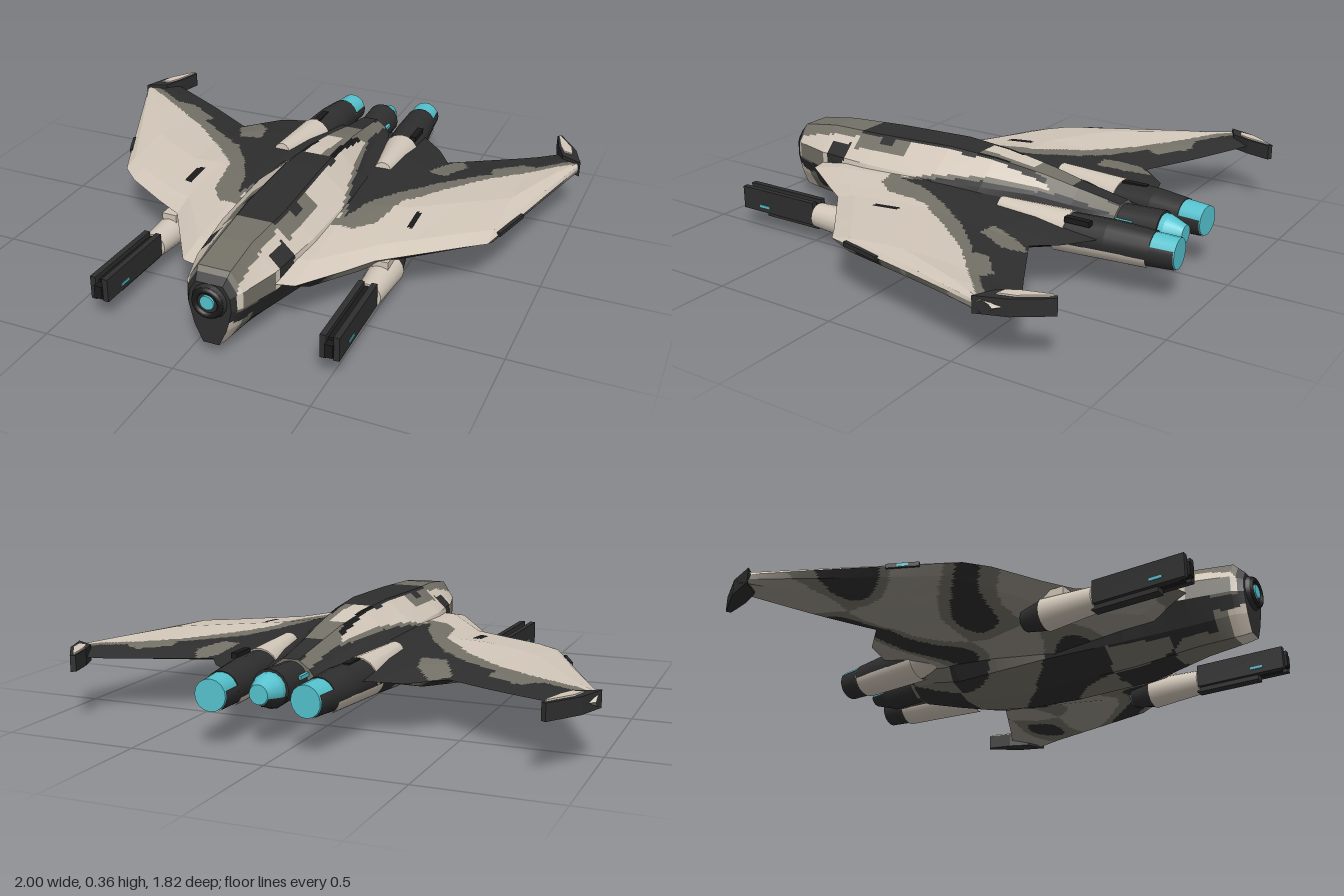
import * as THREE from 'three';

const CX = 0.085; // fuselage axis
const mat = (name, color) => {
  const m = new THREE.MeshStandardMaterial({ color });
  m.name = name;
  return m;
};

// Point-in-polygon test for the paint regions
function inside(poly, x, y) {
  let hit = false;
  for (let i = 0, j = poly.length - 1; i < poly.length; j = i++) {
    const [xi, yi] = poly[i], [xj, yj] = poly[j];
    if ((yi > y) !== (yj > y) && x < ((xj - xi) * (y - yi)) / (yj - yi) + xi) hit = !hit;
  }
  return hit;
}

export function createModel() {
  const cream = mat('cream', 0xd2c7b9), taupe = mat('taupe', 0x747167), dark = mat('charcoal', 0x2e2e2f);
  const black = mat('black', 0x1a1a1a), teal = mat('teal glow', 0x55c2ce), stone = mat('stone', 0x99948a);
  const palette = [cream, taupe, dark, black, stone];
  const CREAM = 0, TAUPE = 1, DARK = 2, BLACK = 3, STONE = 4;
  const model = new THREE.Group();
  const add = (name, geo, material) => {
    const m = new THREE.Mesh(geo, material);
    m.name = name;
    model.add(m);
    return m;
  };

  // Skin between closed rings; each small cell takes a colour from paint(point, facesUp)
  function loft(rings, paint, flip = false, cell = 0.013) {
    const bins = palette.map(() => []);
    const v = (p) => new THREE.Vector3(...p);
    for (let s = 0; s < rings.length - 1; s++) {
      const n = rings[s].length;
      for (let i = 0; i < n; i++) {
        const a = v(rings[s][i]), b = v(rings[s][(i + 1) % n]);
        const d = v(rings[s + 1][i]), c = v(rings[s + 1][(i + 1) % n]);
        const nu = Math.max(1, Math.ceil(Math.max(a.distanceTo(b), d.distanceTo(c)) / cell));
        const nv = Math.max(1, Math.ceil(Math.max(a.distanceTo(d), b.distanceTo(c)) / cell));
        const at = (u, w) => a.clone().lerp(b, u / nu).lerp(d.clone().lerp(c, u / nu), w / nv);
        for (let u = 0; u < nu; u++) for (let w = 0; w < nv; w++) {
          const p = at(u, w), q = at(u + 1, w), r = at(u + 1, w + 1), t = at(u, w + 1);
          const mid = p.clone().add(r).multiplyScalar(0.5);
          const normal = r.clone().sub(p).cross(q.clone().sub(t)).multiplyScalar(flip ? -1 : 1);
          const tris = flip ? [p, q, r, p, r, t] : [p, r, q, p, t, r];
          bins[paint(mid, normal.y > 0)].push(...tris);
        }
      }
    }
    const geo = new THREE.BufferGeometry().setFromPoints(bins.flat());
    let start = 0;
    bins.forEach((bin, k) => {
      if (bin.length) geo.addGroup(start, bin.length, k);
      start += bin.length;
    });
    geo.computeVertexNormals();
    return geo;
  }

  // Blotchy camouflage for the underside
  const belly = (x, z) => {
    const n = Math.sin(x * 11 + 2 * Math.sin(z * 7)) + Math.sin(z * 13 + 1.7 * Math.sin(x * 9));
    return n > 1 ? DARK : n < 0 ? STONE : TAUPE;
  };

  // Camouflage bands in (distance from axis, z)
  const darkBand = [[1.06, -0.62], [0.95, -0.85], [0, -0.85], [0.05, -0.5], [0.1, -0.3], [0.16, 0], [0.22, 0.22],
    [0.26, 0.08], [0.33, -0.06], [0.42, -0.19], [0.62, -0.34]];
  const taupeBand = [[1.08, -0.6], [0.9, -0.9], [0, -0.9], [0.04, -0.5], [0.088, -0.3], [0.148, 0], [0.2, 0.22],
    [0.19, 0.29], [0.27, 0.28], [0.33, 0.2], [0.37, -0.01], [0.5, -0.16], [0.68, -0.33]];
  const tipPatch = [[0.88, -0.5], [0.8, -0.52], [0.66, -0.43], [0.68, -0.36]];
  const kinkPatch = [[0.37, -0.3], [0.46, -0.29], [0.53, -0.42], [0.47, -0.5], [0.4, -0.42]];
  const topCamo = (d, z) => {
    if (Math.abs(d - 0.465) < 0.014 && z > 0.06 && z < 0.17) return BLACK;
    if (inside(tipPatch, d, z) || inside(kinkPatch, d, z)) return TAUPE;
    return inside(darkBand, d, z) ? DARK : inside(taupeBand, d, z) ? TAUPE : CREAM;
  };

  // Fuselage: z, then (half width, y) at the top, shoulder, side, lower side and keel
  const sections = [
    [0.88, 0.05, 0.29, 0.075, 0.25, 0.08, 0.2, 0.06, 0.12, 0.03, 0.055],
    [0.84, 0.06, 0.33, 0.105, 0.26, 0.105, 0.2, 0.075, 0.12, 0.035, 0.05],
    [0.68, 0.06, 0.352, 0.15, 0.26, 0.15, 0.19, 0.11, 0.1, 0.05, 0.042],
    [0.43, 0.075, 0.36, 0.18, 0.265, 0.2, 0.19, 0.16, 0.08, 0.08, 0.008],
    [0.1, 0.07, 0.37, 0.19, 0.27, 0.24, 0.2, 0.2, 0.07, 0.08, 0.006],
    [-0.1, 0.06, 0.358, 0.16, 0.27, 0.26, 0.2, 0.2, 0.07, 0.07, 0.012],
    [-0.3, 0.045, 0.33, 0.11, 0.265, 0.24, 0.2, 0.18, 0.08, 0.06, 0.04],
    [-0.45, 0.035, 0.3, 0.09, 0.25, 0.2, 0.2, 0.15, 0.12, 0.05, 0.08],
    [-0.62, 0.03, 0.27, 0.07, 0.24, 0.1, 0.2, 0.08, 0.16, 0.04, 0.13],
  ];
  const hull = sections.map(([z, ...f]) => {
    const half = [0, 2, 4, 6, 8].map((k) => [f[k], f[k + 1]]);
    return [...half.map(([w, y]) => [CX - w, y, z]), ...half.reverse().map(([w, y]) => [CX + w, y, z])];
  });
  hull.unshift(hull[0].map(() => [CX, 0.19, 0.88])); // nose cap
  hull.push(hull[hull.length - 1].map(() => [CX, 0.2, -0.62])); // tail cap
  add('fuselage', loft(hull, (p, up) => {
    const d = Math.abs(p.x - CX), z = p.z;
    if (z > 0.875) return DARK;
    if (z > 0.855) return p.y > 0.15 ? DARK : CREAM;
    if (p.y < 0.19) {
      if (z > 0.76) return p.y > 0.14 ? DARK : z > 0.82 ? CREAM : TAUPE;
      return p.y > 0.075 && z > 0.35 ? DARK : belly(p.x, z) === STONE ? TAUPE : DARK;
    }
    if (!up) return TAUPE;
    if (z > 0.53) {
      if (Math.abs(d - 0.14) < 0.025 && Math.abs(z - 0.6) < 0.05) return DARK;
      return d < 0.09 ? TAUPE : CREAM;
    }
    if (z > -0.02 && d < 0.08) return DARK;
    if (z > 0.28 && d < 0.13) return z > 0.36 && z < 0.42 && d < 0.11 ? DARK : TAUPE;
    if (z < -0.02 && z > -0.33) {
      if (d > 0.05 && d < 0.068) return BLACK;
      if (d <= 0.05) return z < -0.25 || p.x > CX + 0.02 ? TAUPE : CREAM;
    }
    if (z <= -0.33 && d < 0.07) return z < -0.42 && d < 0.035 ? DARK : TAUPE;
    return topCamo(d, z);
  }), palette);

  // Wings: x, leading z, trailing z per station, sharing ridge, edge and keel heights
  const heights = [[0.265, 0.215, 0.07], [0.265, 0.215, 0.085], [0.255, 0.207, 0.1], [0.25, 0.205, 0.12],
    [0.25, 0.212, 0.145], [0.25, 0.215, 0.16], [0.25, 0.225, 0.185], [0.245, 0.227, 0.2]];
  const profile = [[0, 0], [0.1, 0.55], [0.4, 1], [0.8, 0.6], [1, 0], [0.8, -0.5], [0.4, -1], [0.1, -0.6]];
  const wing = (name, stations, side) => {
    const rings = stations.map(([x, lead, trail], i) => {
      const [top, mid, bot] = heights[i];
      return profile.map(([u, h]) => [x, mid + (h > 0 ? h * (top - mid) : h * (mid - bot)), lead + (trail - lead) * u]);
    });
    add(name, loft(rings, (p, up) => {
      let d = Math.abs(p.x - CX);
      if (side > 0 && d > 0.4) d = 0.4 + (d - 0.4) * 1.33; // the left wing is shorter
      return up ? topCamo(d, p.z) : belly(p.x, p.z);
    }, side < 0), palette);
  };
  wing('rightWing', [[CX, 0.72, -0.6], [-0.13, 0.67, -0.63], [-0.32, 0.37, -0.57], [-0.44, 0.3, -0.45],
    [-0.61, 0.2, -0.55], [-0.685, 0.13, -0.59], [-0.9, -0.355, -0.7], [-0.995, -0.57, -0.64]], -1);
  wing('leftWing', [[CX, 0.72, -0.6], [0.3, 0.67, -0.67], [0.42, 0.49, -0.56], [0.485, 0.39, -0.465],
    [0.75, 0.18, -0.61], [0.82, 0.13, -0.65], [0.92, -0.275, -0.71], [0.995, -0.59, -0.65]], 1);

  // Dark leading-edge strips, with a running light on the right
  const edgeBox = (name, size, x, z, yaw, material) => {
    const strip = add(name, new THREE.BoxGeometry(...size), material);
    strip.position.set(x, 0.219, z);
    strip.rotation.y = yaw;
  };
  edgeBox('rightEdgeStrip', [0.01, 0.016, 0.12], -0.771, -0.064, 0.417, dark);
  edgeBox('rightEdgeLight', [0.014, 0.012, 0.04], -0.771, -0.064, 0.417, teal);
  edgeBox('leftEdgeStrip', [0.014, 0.016, 0.18], 0.86, -0.032, -0.242, dark);

  // Swept-back wing tips with a pale inlay
  const plate = (name, pts, y, depth, material) => {
    const shape = new THREE.Shape(pts.map(([x, z]) => new THREE.Vector2(x, -z)));
    const geo = new THREE.ExtrudeGeometry(shape, { depth, bevelEnabled: false });
    add(name, geo.rotateX(-Math.PI / 2).translate(0, y, 0), material);
  };
  for (const [s, label] of [[-1, 'right'], [1, 'left']]) {
    const m = (pts) => pts.map(([x, z]) => [s * x, z]);
    plate(label + 'WingTip', m([[1, -0.58], [0.96, -0.69], [0.875, -0.81], [0.858, -0.8], [0.885, -0.7], [0.92, -0.62]]), 0.195, 0.06, dark);
    plate(label + 'TipInlay', m([[0.955, -0.64], [0.938, -0.7], [0.872, -0.795], [0.866, -0.79], [0.895, -0.695], [0.918, -0.65]]), 0.256, 0.006, cream);
  }

  // Round part running between two points; from and arc leave part of the circumference open
  const rod = (name, a, b, ra, rb, material, open = false, from = 0, arc = Math.PI * 2) => {
    const va = new THREE.Vector3(...a), dir = new THREE.Vector3(...b).sub(va);
    const geo = new THREE.CylinderGeometry(rb, ra, dir.length(), 16, 1, open, from, arc);
    const mesh = add(name, geo, material);
    mesh.position.copy(va).addScaledVector(dir, 0.5);
    mesh.quaternion.setFromUnitVectors(new THREE.Vector3(0, 1, 0), dir.normalize());
  };
  const lower = (share) => [true, Math.PI * (1 - share), Math.PI * 2 * share]; // lower share of a tube

  // Engines: pale fairing and belly, dark barrel, glowing nozzle with a dark lower shell
  for (const [label, x0, x1, end] of [['right', -0.15, -0.09, -0.87], ['left', 0.285, 0.24, -0.915]]) {
    const at = (z, y = 0.195) => [x0 + ((x1 - x0) * (z + 0.25)) / (end + 0.25), y, z];
    rod(label + 'EngineFairing', at(-0.22, 0.24), at(-0.5, 0.2), 0.035, 0.072, cream);
    rod(label + 'EngineBarrel', at(-0.49), at(-0.66), 0.07, 0.073, dark);
    rod(label + 'EngineSleeve', at(-0.66), at(end + 0.09), 0.073, 0.064, dark);
    rod(label + 'EngineBelly', at(-0.46), at(end + 0.1), 0.078, 0.071, cream, ...lower(0.4));
    rod(label + 'Nozzle', at(end + 0.1), at(end), 0.061, 0.057, teal);
    rod(label + 'NozzleShell', at(end + 0.09), at(end + 0.003), 0.064, 0.06, dark, ...lower(0.62));
    add(label + 'EngineVent', new THREE.BoxGeometry(0.025, 0.02, 0.1), black).position.set(x0 + 0.03, 0.26, -0.56);
  }
  rod('centreEngineBarrel', [CX, 0.2, -0.5], [CX, 0.2, -0.78], 0.06, 0.07, dark);
  rod('centreNozzle', [CX, 0.2, -0.76], [CX, 0.2, -0.8], 0.062, 0.06, teal);
  rod('centreNozzleTip', [CX, 0.2, -0.8], [CX, 0.2, -0.865], 0.06, 0.035, teal);
  rod('centreNozzleShell', [CX, 0.2, -0.78], [CX, 0.2, -0.866], 0.067, 0.039, dark, ...lower(0.4));
  for (const s of [-1, 1]) {
    add('engineLight', new THREE.BoxGeometry(0.012, 0.014, 0.07), teal).position.set(CX + s * 0.064, 0.222, -0.65);
  }

  // Nose sensor
  rod('noseCollar', [CX, 0.225, 0.84], [CX, 0.225, 0.895], 0.08, 0.06, dark);
  add('noseRing', new THREE.TorusGeometry(0.048, 0.012, 8, 20), black).position.set(CX, 0.225, 0.893);
  rod('noseLens', [CX, 0.228, 0.88], [CX, 0.228, 0.902], 0.03, 0.026, teal);

  // Underwing guns: pod, twin rails and muzzle
  for (const [label, x, tilt] of [['right', -0.35, -0.03], ['left', 0.49, 0.01]]) {
    const gun = new THREE.Group();
    gun.name = label + 'Gun';
    const first = model.children.length;
    rod('gunPod', [0, 0.112, 0.27], [0, 0.115, 0.48], 0.062, 0.048, cream);
    rod('gunPodTail', [0, 0.11, 0.18], [0, 0.112, 0.27], 0.04, 0.058, dark);
    rod('gunPodGlow', [0, 0.11, 0.174], [0, 0.11, 0.18], 0.034, 0.036, teal);
    const box = (name, w, h, l, px, y, z, m) => add(name, new THREE.BoxGeometry(w, h, l), m).position.set(px, y, z);
    box('pylon', 0.06, 0.05, 0.22, 0, 0.165, 0.25, cream);
    box('gunCore', 0.036, 0.07, 0.34, 0, 0.12, 0.65, black);
    for (const s of [-1, 1]) {
      box('gunRail', 0.022, 0.09, 0.36, s * 0.024, 0.128, 0.66, dark);
      box('gunLight', 0.004, 0.01, 0.05, s * 0.036, 0.107, 0.73, teal);
    }
    box('gunKeel', 0.04, 0.03, 0.26, 0, 0.08, 0.6, dark);
    box('muzzle', 0.03, 0.05, 0.03, 0, 0.12, 0.835, black);
    gun.add(...model.children.slice(first));
    gun.position.x = x;
    gun.rotation.y = tilt;
    model.add(gun);
  }
  return model;
}
